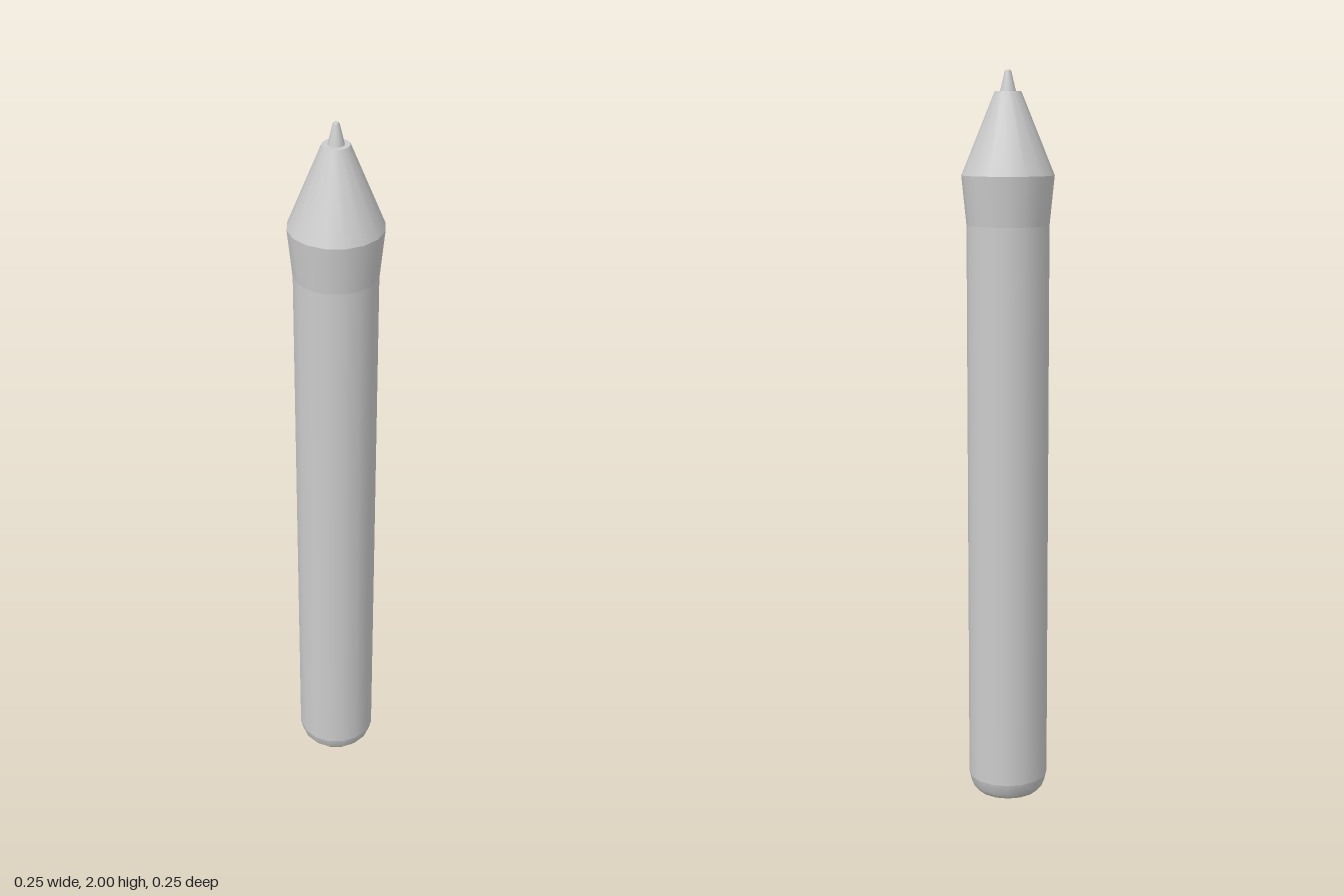
import * as THREE from 'three';

const SIDES = 16;

export function createModel() {
  const pen = new THREE.Group();
  pen.name = 'stylusPen';
  const material = new THREE.MeshStandardMaterial({ color: 0xcccccc });

  // Each part is a turned profile of [radius, height] pairs, listed bottom to top;
  // separate parts keep the seams between them crisp.
  const turn = (name, profile) => {
    const points = profile.map(([r, y]) => new THREE.Vector2(r, y));
    const mesh = new THREE.Mesh(new THREE.LatheGeometry(points, SIDES), material);
    mesh.name = name;
    pen.add(mesh);
  };

  // Rounded butt end
  turn('endCap', [[0, 0], [0.065, 0], [0.088, 0.008], [0.103, 0.026], [0.11, 0.055]]);
  // Straight barrel
  turn('barrel', [[0.11, 0.055], [0.11, 1.6]]);
  // Grip widening towards the nose
  turn('gripFlare', [[0.11, 1.6], [0.123, 1.73]]);
  // Tapered nose and the flat ledge around the nib
  turn('noseCone', [[0.123, 1.73], [0.035, 1.945]]);
  turn('noseLedge', [[0.035, 1.945], [0.018, 1.945]]);
  // Thin nib with a blunt point
  turn('nib', [[0.022, 1.94], [0.009, 1.995], [0.006, 2]]);
  turn('nibPoint', [[0.006, 2], [0, 2]]);

  return pen;
}
